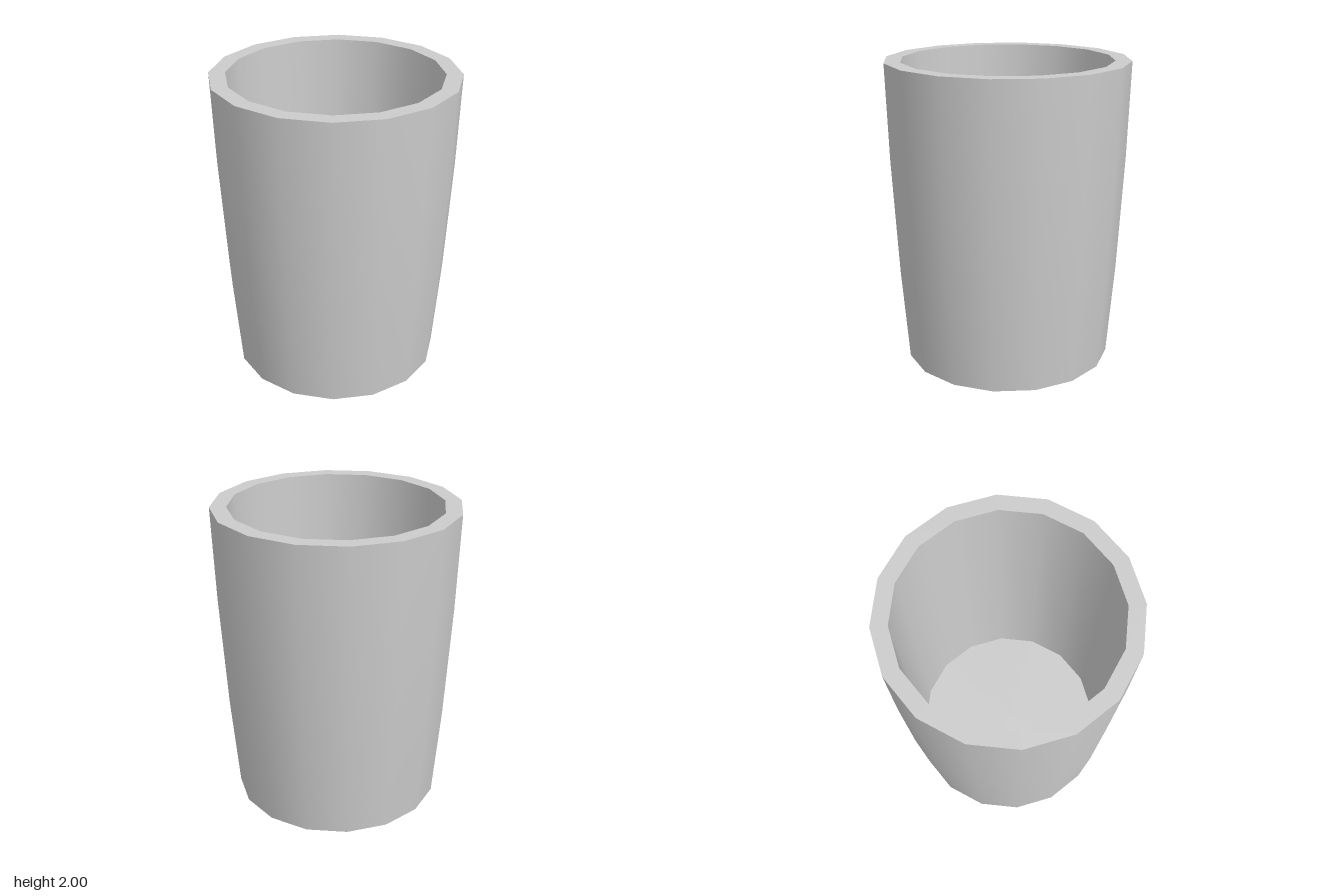
import * as THREE from 'three';

const SIDES = 16;

export function createModel() {
  const cup = new THREE.Group();
  cup.name = 'cup';
  const material = new THREE.MeshStandardMaterial({ color: 0xcccccc });

  // Each section is its own lathe, so the rim and floor edges stay sharp
  const addSection = (name, profile) => {
    const points = profile.map(([r, y]) => new THREE.Vector2(r, y));
    const mesh = new THREE.Mesh(new THREE.LatheGeometry(points, SIDES), material);
    mesh.name = name;
    cup.add(mesh);
  };

  const floorY = 0.15;
  addSection('base', [[0, 0], [0.685, 0]]);
  addSection('outerWall', [[0.685, 0], [0.733, 0.62], [0.772, 1.38], [0.79, 2]]);
  addSection('rim', [[0.79, 2], [0.685, 2]]);
  addSection('innerWall', [[0.685, 2], [0.625, floorY]]);
  addSection('innerFloor', [[0.625, floorY], [0, floorY]]);

  return cup;
}
